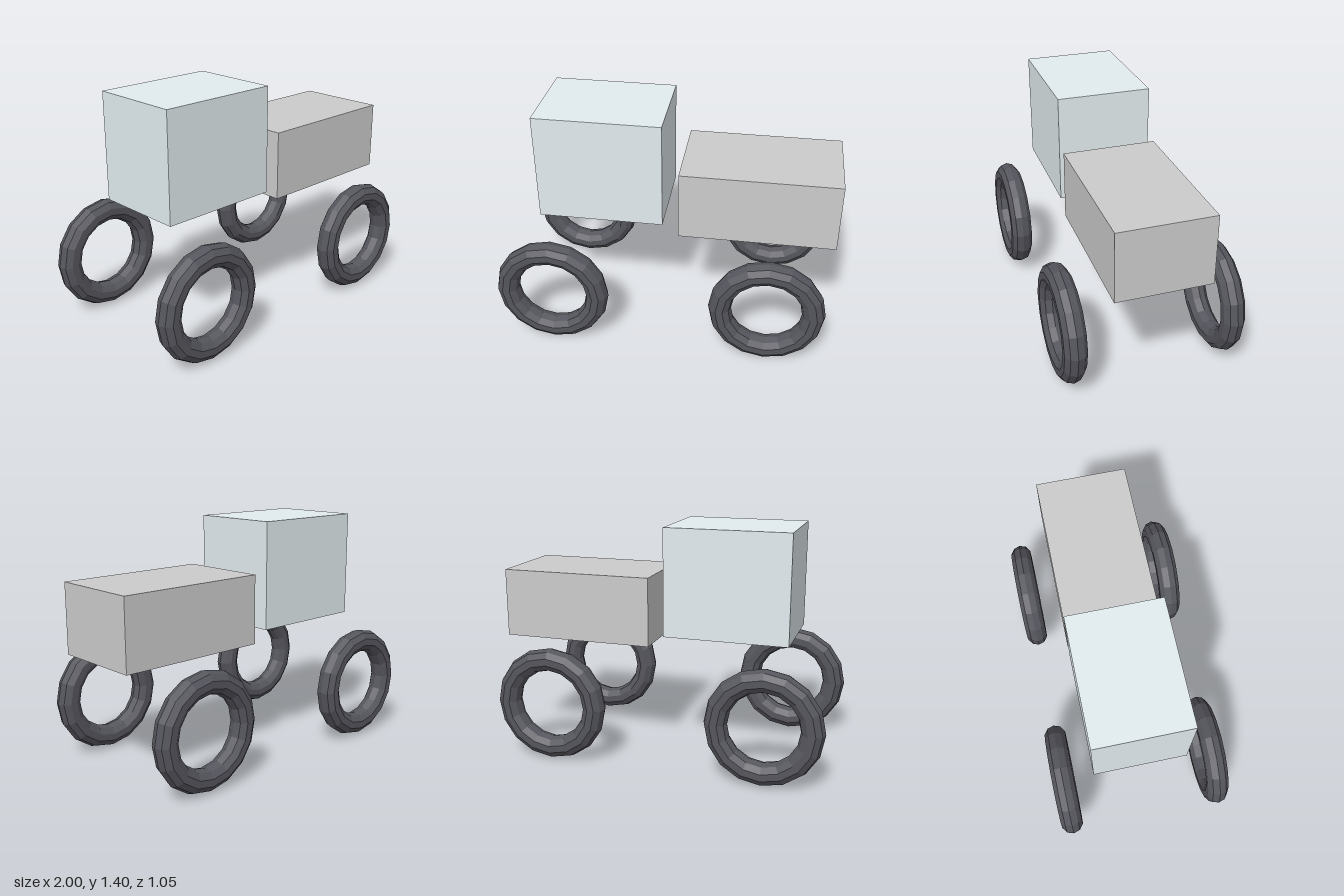
import * as THREE from 'three';

export function createModel() {
  const model = new THREE.Group();
  const bodyMaterial = new THREE.MeshStandardMaterial({ color: 0xcccccc });
  const cabMaterial = new THREE.MeshStandardMaterial({ color: 0xe2ecef });
  const tyreMaterial = new THREE.MeshStandardMaterial({ color: 0x55555d, flatShading: true });

  function addBox(name, material, x0, x1, y0, y1, depth) {
    const box = new THREE.Mesh(new THREE.BoxGeometry(x1 - x0, y1 - y0, depth), material);
    box.name = name;
    box.position.set((x0 + x1) / 2, (y0 + y1) / 2, 0);
    model.add(box);
  }

  // Tall cab and long, low hood
  addBox('cab', cabMaterial, -0.75, -0.013, 0.763, 1.402, 0.552);
  addBox('hood', bodyMaterial, 0.08, 1, 0.694, 1.106, 0.552);

  // Four faceted tyres standing on the floor
  const tyreGeometry = new THREE.TorusGeometry(0.275, 0.068, 10, 16);
  for (const [end, x] of [['rear', -0.657], ['front', 0.63]]) {
    for (const [side, z] of [['Near', 0.459], ['Far', -0.459]]) {
      const tyre = new THREE.Mesh(tyreGeometry, tyreMaterial);
      tyre.name = `${end}${side}Tyre`;
      tyre.position.set(x, 0.345, z);
      model.add(tyre);
    }
  }

  return model;
}
